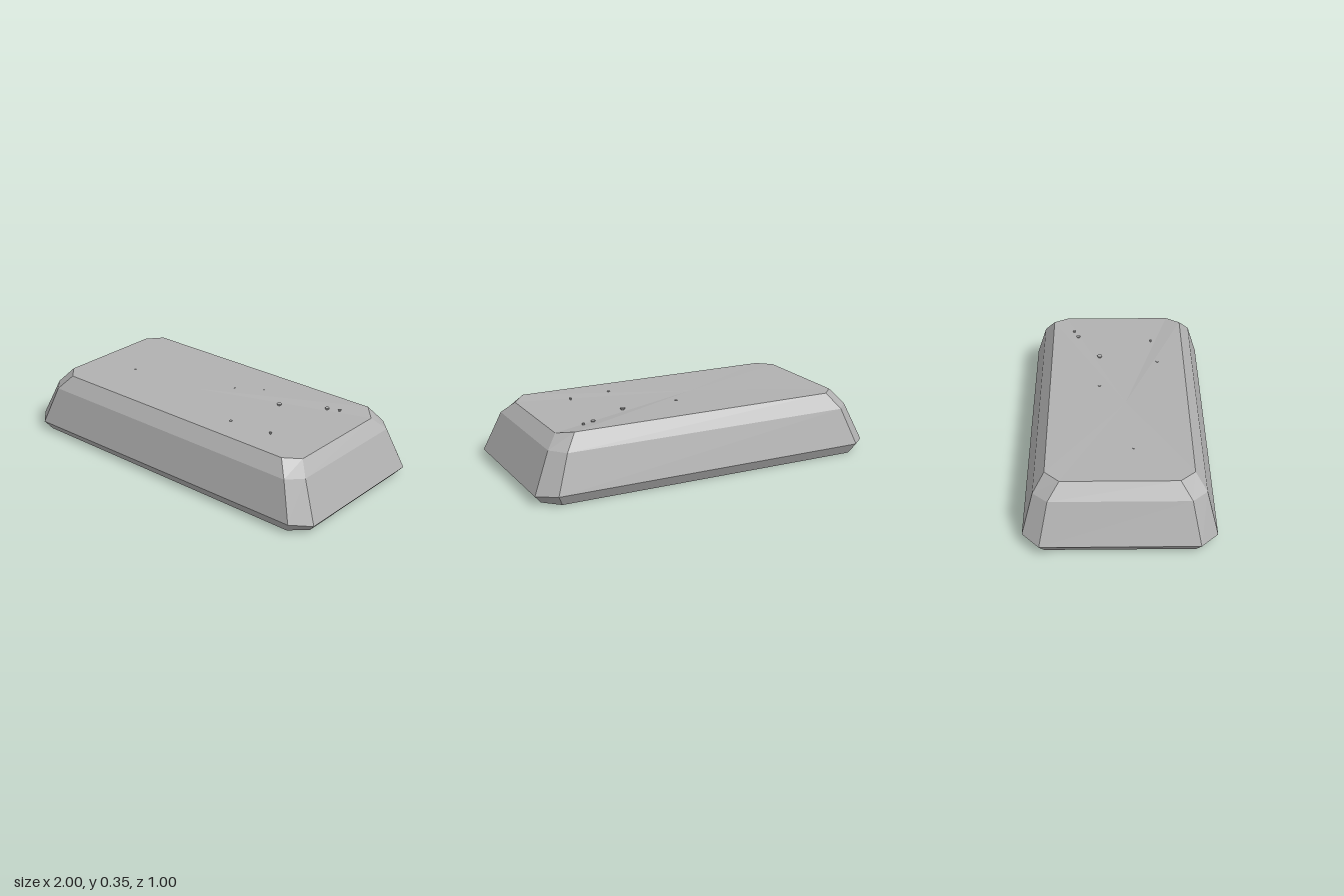
import * as THREE from 'three';

const stone = new THREE.MeshStandardMaterial({ color: 0xb0b0b0, flatShading: true });
stone.name = 'stone grey';

// Octagonal ring: outer half sizes, inner (corner cut) half sizes, heights of
// the front, right, back and left edges.
function ring(xo, xi, zo, zi, [front, right, back, left]) {
  return [
    [xi, front, zo], [xo, right, zi], [xo, right, -zi], [xi, back, -zo],
    [-xi, back, -zo], [-xo, left, -zi], [-xo, left, zi], [-xi, front, zo],
  ];
}

function slabGeometry() {
  const rings = [
    ring(0.96, 0.875, 0.467, 0.385, [0, 0, 0, 0]),
    ring(1.0, 0.905, 0.5, 0.41, [0.058, 0.046, 0.058, 0.05]),
    ring(0.905, 0.83, 0.443, 0.365, [0.265, 0.265, 0.262, 0.265]),
    ring(0.84, 0.765, 0.383, 0.305, [0.342, 0.33, 0.347, 0.344]),
  ];
  // Uneven rim: one front corner sits a little lower
  rings[1][7][1] = 0.048;
  const bottom = [0, 0, 0];
  const top = [-0.12, 0.338, 0.04];
  const pos = [];
  const tri = (...points) => points.forEach((p) => pos.push(...p));
  for (let i = 0; i < 8; i++) {
    const j = (i + 1) % 8;
    for (let k = 0; k < 3; k++) {
      const lo = rings[k], hi = rings[k + 1];
      tri(lo[i], lo[j], hi[j]);
      tri(lo[i], hi[j], hi[i]);
    }
    tri(rings[0][j], rings[0][i], bottom);
    tri(rings[3][i], rings[3][j], top);
  }
  const geometry = new THREE.BufferGeometry();
  geometry.setAttribute('position', new THREE.Float32BufferAttribute(pos, 3));
  geometry.computeVertexNormals();
  return geometry;
}

export function createModel() {
  const group = new THREE.Group();
  group.name = 'stoneSlab';

  const slab = new THREE.Mesh(slabGeometry(), stone);
  slab.name = 'slab';
  group.add(slab);

  // Tiny grit on the top face: x, z, radius
  const grit = [
    [0.6, -0.235, 0.013], [0.665, -0.26, 0.009], [0.37, -0.105, 0.015],
    [0.08, -0.26, 0.008], [0.385, -0.27, 0.008], [0.19, -0.195, 0.005],
    [0.045, -0.105, 0.008], [-0.56, 0.075, 0.006], [0.305, 0.23, 0.009],
    [0.55, 0.2, 0.007], [0.56, -0.32, 0.009],
  ];
  const pebbles = new THREE.Group();
  pebbles.name = 'pebbles';
  for (const [x, z, r] of grit) {
    const pebble = new THREE.Mesh(new THREE.CylinderGeometry(r, r * 0.6, 0.014, 6), stone);
    pebble.name = 'pebble';
    pebble.position.set(x, 0.337, z);
    pebbles.add(pebble);
  }
  group.add(pebbles);
  return group;
}
